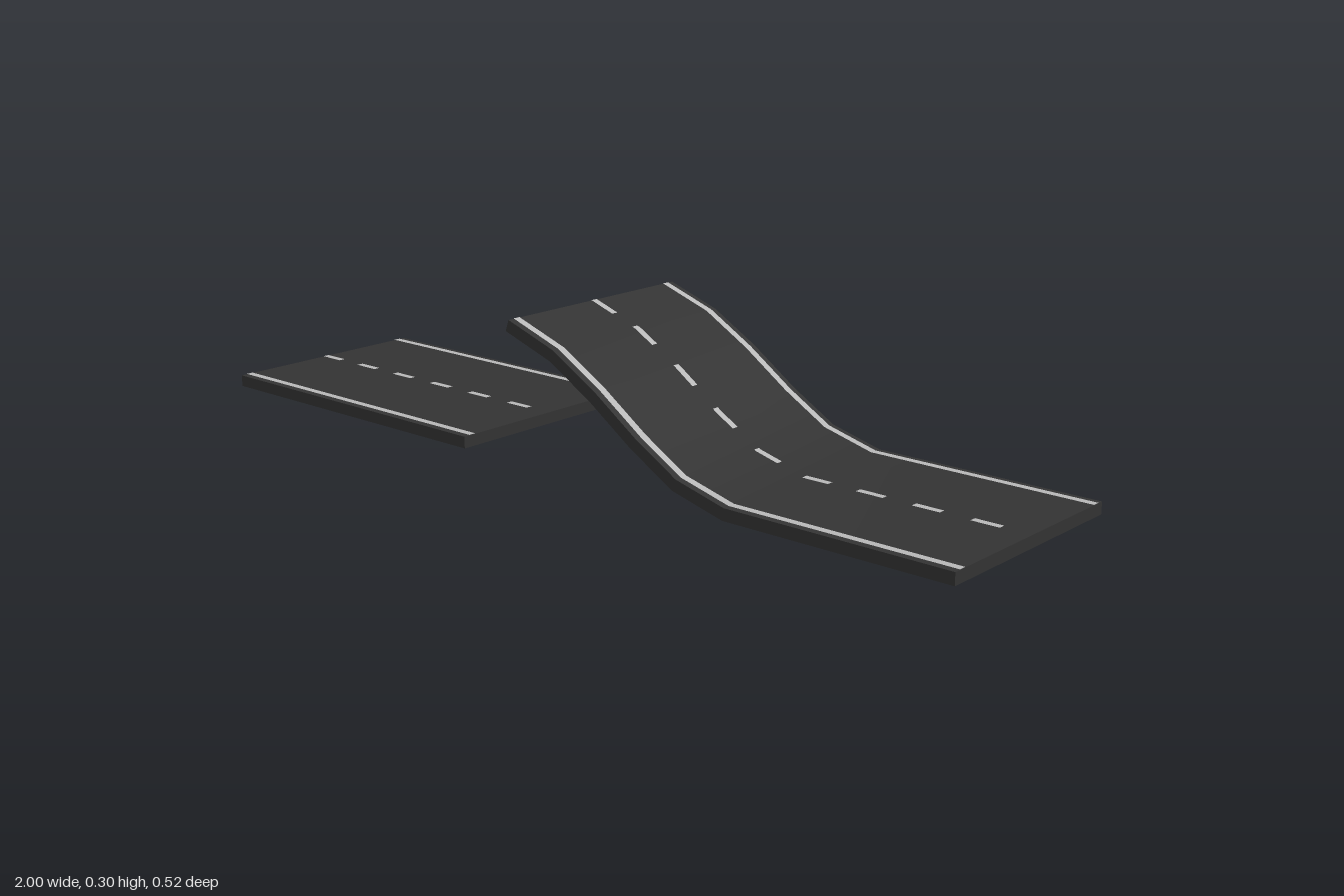
import * as THREE from 'three';
import { toCreasedNormals } from 'three/addons/utils/BufferGeometryUtils.js';

const HALF_THICK = 0.013, HALF_WIDTH = 0.258;
const asphalt = new THREE.MeshStandardMaterial({ color: 0x333333 });
const paint = new THREE.MeshStandardMaterial({ color: 0xb8b8b8, side: THREE.DoubleSide });

// Mitred normal at each point of a centre line running towards +x
function withNormals(points) {
  const path = points.map(([x, y]) => new THREE.Vector2(x, y));
  const side = (a, b) => new THREE.Vector2(a.y - b.y, b.x - a.x).normalize();
  const normals = path.map((p, i) => {
    const a = side(path[Math.max(i - 1, 0)], path[Math.max(i, 1)]);
    const last = path.length - 1;
    const b = side(path[Math.min(i, last - 1)], path[Math.min(i + 1, last)]);
    const n = a.clone().add(b).normalize();
    return n.divideScalar(n.dot(b));
  });
  let s = 0;
  return path.map((p, i) => {
    if (i) s += p.distanceTo(path[i - 1]);
    return { p, n: normals[i], s };
  });
}

// Point at distance s along the path, raised above the centre line
function raised(line, s, height) {
  let i = 1;
  while (i < line.length - 1 && line[i].s < s) i++;
  const a = line[i - 1], b = line[i], t = (s - a.s) / (b.s - a.s);
  const n = a.n.clone().lerp(b.n, t);
  return a.p.clone().lerp(b.p, t).addScaledVector(n, height);
}

// Road body: thick profile extruded across the width
function roadBody(line) {
  const top = line.map(({ p, n }) => p.clone().addScaledVector(n, HALF_THICK));
  const bottom = line.map(({ p, n }) => p.clone().addScaledVector(n, -HALF_THICK));
  const shape = new THREE.Shape([...bottom, ...top.reverse()]);
  const geo = new THREE.ExtrudeGeometry(shape, { depth: 2 * HALF_WIDTH, bevelEnabled: false });
  geo.translate(0, 0, -HALF_WIDTH);
  return toCreasedNormals(geo, 0.6);
}

// Painted strip following the road surface between two distances
function stripe(line, s0, s1, z, width) {
  const inner = line.map(k => k.s).filter(s => s > s0 + 1e-4 && s < s1 - 1e-4);
  const stops = [s0, ...inner, s1];
  const geo = new THREE.PlaneGeometry(1, 1, stops.length - 1, 1);
  const pos = geo.attributes.position;
  stops.forEach((s, i) => {
    const q = raised(line, s, HALF_THICK + 0.001);
    pos.setXYZ(i, q.x, q.y, z - width / 2);
    pos.setXYZ(i + stops.length, q.x, q.y, z + width / 2);
  });
  geo.computeVertexNormals();
  return geo;
}

function roadSection(name, points, firstDash, dashCount) {
  const group = new THREE.Group();
  group.name = name;
  const add = (geo, mat, part) => {
    const mesh = new THREE.Mesh(geo, mat);
    mesh.name = part;
    group.add(mesh);
  };
  const line = withNormals(points);
  const length = line[line.length - 1].s;
  add(roadBody(line), asphalt, 'roadSlab');
  for (const side of [1, -1]) {
    add(stripe(line, 0, length, side * 0.235, 0.017), paint, side > 0 ? 'frontEdgeLine' : 'backEdgeLine');
  }
  // Centre dashes, evenly spaced along the surface
  for (let i = 0; i < dashCount; i++) {
    const s = Math.max(firstDash(length) + i * 0.13, 0);
    add(stripe(line, s, Math.min(s + 0.063, length), 0, 0.016), paint, 'centreDash');
  }
  return group;
}

export function createModel() {
  const model = new THREE.Group();
  model.name = 'brokenRoad';
  const flat = [[-1, 0.013], [-0.225, 0.013]];
  const ramp = [[-0.09, 0.291], [0.035, 0.248], [0.145, 0.184], [0.255, 0.108],
    [0.362, 0.045], [0.485, 0.013], [1, 0.013]];
  model.add(roadSection('flatRoad', flat, () => 0, 6));
  model.add(roadSection('rampRoad', ramp, length => length - 0.064 - 0.063 - 8 * 0.13, 9));
  return model;
}
